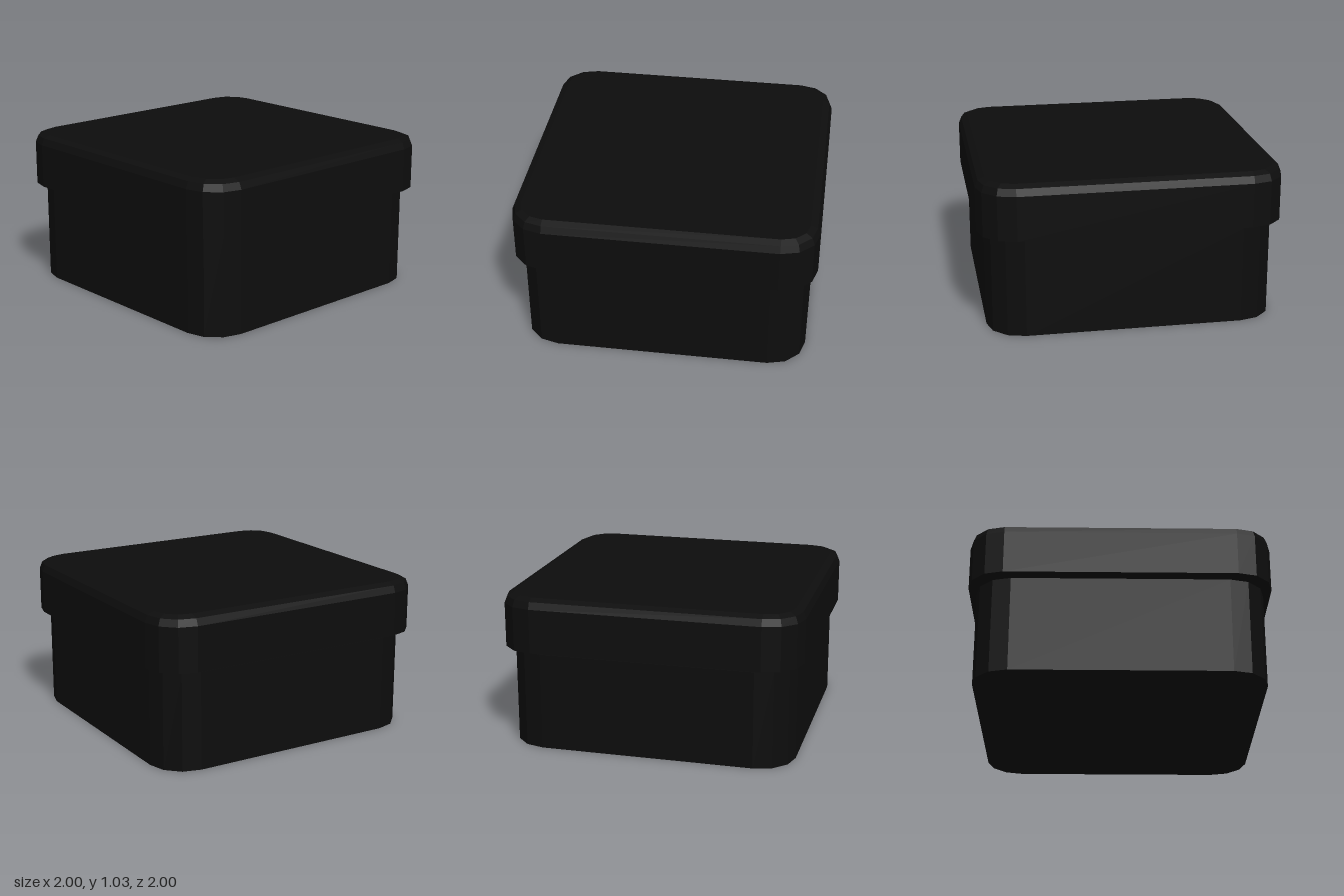
import * as THREE from 'three';

const CORNER_STEPS = 3;

// Rounded-square outline at height y, 4 corners of CORNER_STEPS facets each
function ring(half, radius, y) {
  const points = [];
  for (let corner = 0; corner < 4; corner++) {
    const mid = (corner + 0.5) * Math.PI / 2;
    const cx = Math.sign(Math.cos(mid)) * (half - radius);
    const cz = Math.sign(Math.sin(mid)) * (half - radius);
    for (let i = 0; i <= CORNER_STEPS; i++) {
      const a = (corner + i / CORNER_STEPS) * Math.PI / 2;
      points.push([cx + radius * Math.cos(a), y, cz + radius * Math.sin(a)]);
    }
  }
  return points;
}

// Closed solid through a stack of rings, listed bottom to top
function loft(rings) {
  const n = rings[0].length;
  const positions = rings.flat(2);
  const index = [];
  for (let r = 0; r < rings.length - 1; r++) {
    for (let i = 0; i < n; i++) {
      const j = (i + 1) % n;
      const a = r * n + i, b = r * n + j;
      index.push(a, a + n, b, b, a + n, b + n);
    }
  }
  const top = (rings.length - 1) * n;
  for (let i = 1; i < n - 1; i++) {
    index.push(0, i, i + 1);
    index.push(top, top + i + 1, top + i);
  }
  const geometry = new THREE.BufferGeometry();
  geometry.setAttribute('position', new THREE.Float32BufferAttribute(positions, 3));
  geometry.setIndex(index);
  const flat = geometry.toNonIndexed();
  flat.computeVertexNormals();
  return flat;
}

export function createModel() {
  const group = new THREE.Group();
  group.name = 'liddedBox';
  const material = new THREE.MeshStandardMaterial({ color: 0x0d0d0d, flatShading: true });
  const radius = 0.24;

  // Straight-sided base
  const base = new THREE.Mesh(loft([ring(0.95, radius, 0), ring(0.95, radius, 0.65)]), material);
  base.name = 'base';

  // Wider lid, floating just above the base, with a two-step rounded top edge
  const bevel = 0.065, height = 1.03;
  const lidRings = [ring(1, radius, 0.67)];
  for (let i = 0; i <= 2; i++) {
    const a = i * Math.PI / 4;
    const inset = bevel * (1 - Math.cos(a));
    lidRings.push(ring(1 - inset, radius - inset, height - bevel * (1 - Math.sin(a))));
  }
  const lid = new THREE.Mesh(loft(lidRings), material);
  lid.name = 'lid';

  group.add(base, lid);
  return group;
}
